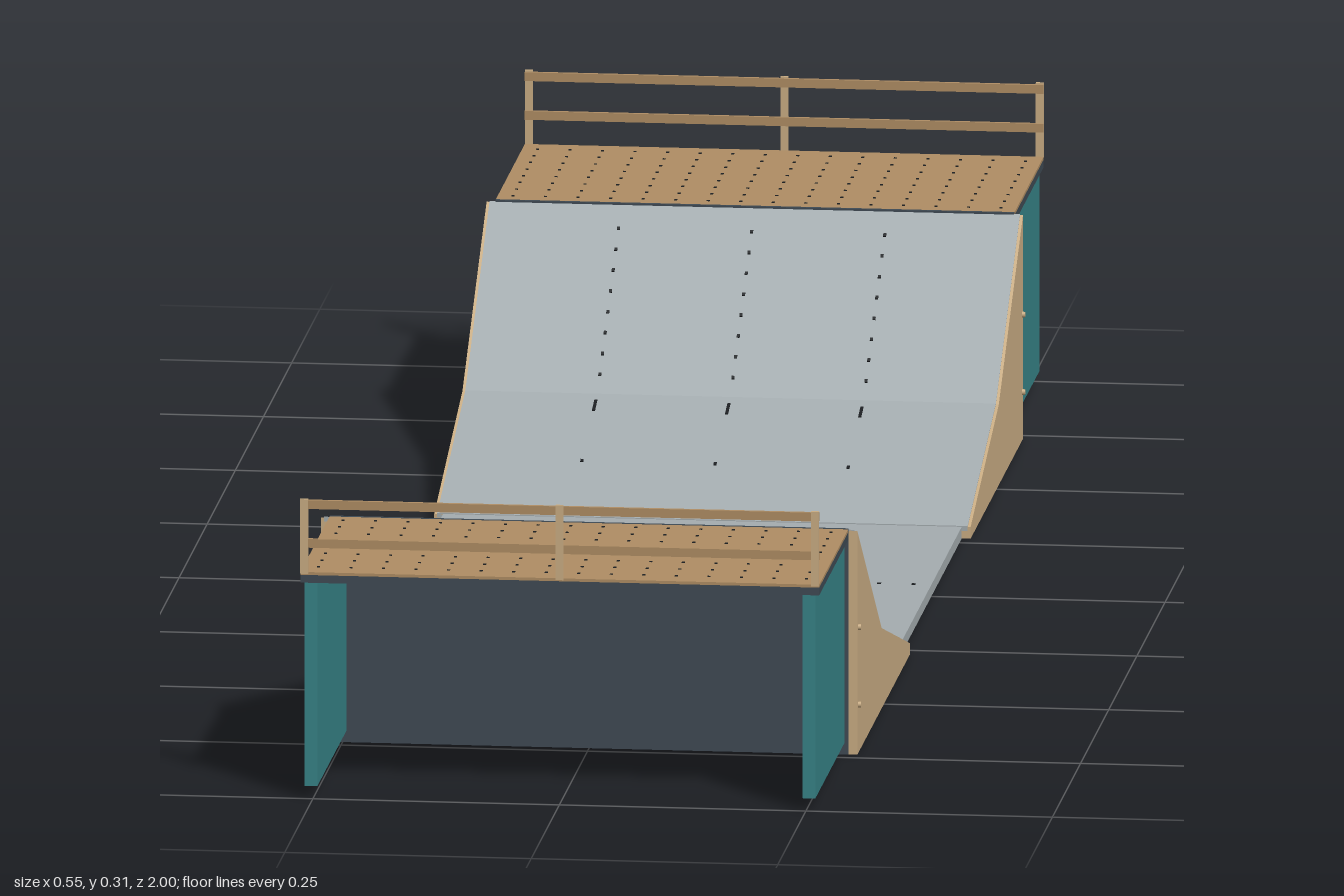
import * as THREE from 'three';
import { mergeGeometries } from 'three/addons/utils/BufferGeometryUtils.js';

const mat = (name, color) => {
  const m = new THREE.MeshStandardMaterial({ color });
  m.name = name;
  return m;
};

// ramp line as [z, y] points, from the flat up to the deck
const LINE = [[0.27, 0.012], [0.52, 0.083], [0.735, 0.231]];

function box(w, h, d, x, y, z) {
  return new THREE.BoxGeometry(w, h, d).translate(x, y, z);
}

// extrude a [z, y] outline across x, centred on cx
function acrossX(points, width, cx) {
  const shape = new THREE.Shape(points.map(([z, y]) => new THREE.Vector2(z, y)));
  const geo = new THREE.ExtrudeGeometry(shape, { depth: width, bevelEnabled: false });
  return geo.translate(0, 0, -width / 2).rotateY(-Math.PI / 2).translate(cx, 0, 0);
}

// small flat screw at fraction t of one ramp segment
function slopeScrew(x, seg, t, length) {
  const [z0, y0] = LINE[seg], [z1, y1] = LINE[seg + 1];
  const tilt = Math.atan2(y1 - y0, z1 - z0);
  return new THREE.BoxGeometry(0.003, 0.0024, length).rotateX(-tilt)
    .translate(x, y0 + (y1 - y0) * t + 0.001, z0 + (z1 - z0) * t);
}

export function createModel() {
  const grey = mat('rampGrey', 0xa5adb0);
  const slate = mat('frameSlate', 0x3f4a54);
  const teal = mat('wallTeal', 0x378387);
  const brown = mat('deckBrown', 0xb08e64);
  const tan = mat('plyTan', 0xcbae84);
  const black = mat('screwBlack', 0x1c1f22);

  const model = new THREE.Group();
  const add = (group, name, geo, material) => {
    const mesh = new THREE.Mesh(geo, material);
    mesh.name = name;
    group.add(mesh);
  };

  function rampEnd(name) {
    const g = new THREE.Group();
    g.name = name;

    // solid ramp core, riding sheet and plywood sides
    const outline = [[0.27, 0], [0.735, 0], ...[...LINE].reverse()];
    const core = [[0.27, 0], [0.736, 0], [0.736, 0.229], [0.52, 0.08], [0.27, 0.01]];
    add(g, 'rampCore', acrossX(core, 0.526, 0), slate);
    const top = LINE.map(([z, y]) => [z, y + 0.001]);
    const under = LINE.map(([z, y]) => [z, y - 0.004]).reverse();
    add(g, 'ridingSheet', acrossX([...top, ...under], 0.538, 0), grey);
    for (const s of [-1, 1]) {
      add(g, 'sidePanel', acrossX(outline, 0.009, s * 0.2675), tan);
      add(g, 'sideBolts', mergeGeometries([0.05, 0.13].map((y) =>
        new THREE.CylinderGeometry(0.003, 0.003, 0.004, 8).rotateZ(Math.PI / 2)
          .translate(s * 0.273, y, 0.727))), tan);
      add(g, 'deckWall', box(0.013, 0.21, 0.259, s * 0.2525, 0.117, 0.8655), teal);
    }

    // deck frame, boards and coping
    add(g, 'deckFrame', box(0.526, 0.008, 0.26, 0, 0.226, 0.866), slate);
    add(g, 'deckBoards', box(0.526, 0.003, 0.26, 0, 0.2315, 0.866), brown);
    add(g, 'coping', box(0.526, 0.005, 0.004, 0, 0.2307, 0.736), slate);

    // guard rail
    for (const x of [-0.259, 0, 0.259])
      add(g, 'railPost', box(0.008, 0.077, 0.004, x, 0.2705, 0.998), tan);
    for (const y of [0.263, 0.303])
      add(g, 'railBar', box(0.526, 0.009, 0.004, 0, y, 0.9955), brown);

    // screws in the deck boards and the slopes
    const screws = [];
    for (let i = 0; i < 16; i++)
      for (let j = 0; j < 8; j++)
        screws.push(box(0.003, 0.001, 0.003, -0.2475 + i * 0.033, 0.2333, 0.755 + j * 0.031));
    for (const x of [-0.135, 0, 0.135]) {
      for (let k = 0; k < 8; k++) screws.push(slopeScrew(x, 1, 0.1 + k * 0.11, 0.004));
      screws.push(slopeScrew(x, 0, 0.9, 0.022), slopeScrew(x, 0, 0.45, 0.005));
    }
    add(g, 'screws', mergeGeometries(screws), black);
    return g;
  }

  // flat between the two ramps, with a cross of screws
  add(model, 'flat', box(0.526, 0.012, 0.54, 0, 0.006, 0), grey);
  const cross = [];
  for (let i = -7; i <= 7; i++) {
    cross.push(box(0.004, 0.001, 0.004, i * 0.035, 0.0123, 0));
    if (i) cross.push(box(0.004, 0.001, 0.004, 0, 0.0123, i * 0.03));
  }
  add(model, 'flatScrews', mergeGeometries(cross), black);

  const back = rampEnd('backRamp');
  back.rotation.y = Math.PI;
  model.add(rampEnd('frontRamp'), back);
  return model;
}
